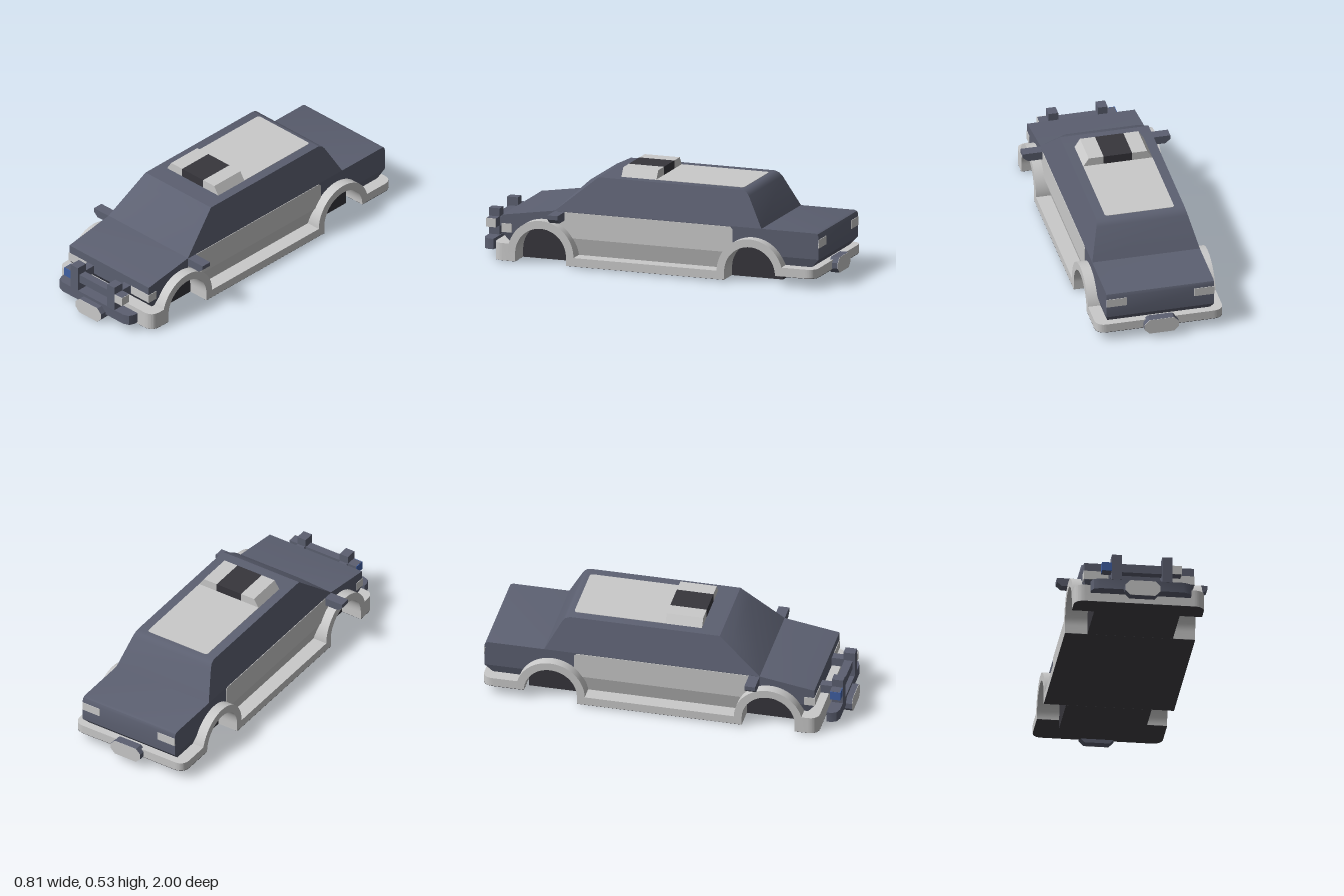
import * as THREE from 'three';
import { toCreasedNormals } from 'three/addons/utils/BufferGeometryUtils.js';

const mat = (name, color) => { const m = new THREE.MeshStandardMaterial({ color }); m.name = name; return m; };

export function createModel() {
  const car = new THREE.Group();
  car.name = 'car';
  const paint = mat('slate paint', 0x5c6071);
  const grey = mat('light grey', 0xcacaca);
  const dark = mat('dark trim', 0x37363c);
  const under = mat('underside', 0x424146);
  const blue = mat('blue lamp', 0x4060a4);

  const add = (name, geo, m) => {
    const mesh = new THREE.Mesh(geo, m);
    mesh.name = name;
    car.add(mesh);
    return mesh;
  };
  // Box given by its extents
  const box = (name, m, x0, x1, y0, y1, z0, z1) =>
    add(name, new THREE.BoxGeometry(x1 - x0, y1 - y0, z1 - z0)
      .translate((x0 + x1) / 2, (y0 + y1) / 2, (z0 + z1) / 2), m);
  const poly = (pts) => new THREE.Shape(pts.map(([a, b]) => new THREE.Vector2(a, b)));
  const extrude = (shape, depth) =>
    new THREE.ExtrudeGeometry(shape, { depth, bevelEnabled: false, curveSegments: 20 });
  // Side profile in (z, y), run across x0..x1; halfWidth(y) scales it to taper the flanks
  const side = (name, m, shape, x0, x1, halfWidth) => {
    const geo = extrude(shape, x1 - x0).rotateY(-Math.PI / 2).translate(x1, 0, 0);
    if (halfWidth) {
      const p = geo.attributes.position;
      for (let i = 0; i < p.count; i++) p.setX(i, p.getX(i) * halfWidth(p.getY(i)));
    }
    return add(name, toCreasedNormals(geo, 0.6), m);
  };
  // Plan outline in (x, z), run upwards from y0 to y1
  const plan = (name, m, shape, y0, y1) =>
    add(name, toCreasedNormals(extrude(shape, y1 - y0).rotateX(Math.PI / 2).translate(0, y1, 0), 0.6), m);
  // Front outline in (x, y), run along z
  const front = (name, m, shape, z0, z1) =>
    add(name, extrude(shape, z1 - z0).translate(0, 0, z0), m);

  const W = 0.295, HUB = 0.055, WHEELS = [-0.593, 0.6], WELL = 0.23;
  const CUT = 0.165, a = Math.asin((0.15 - HUB) / CUT), dz = CUT * Math.cos(a);

  // Cabin, narrowing to the roof, with a bulged windscreen
  const cabinWidth = (y) => W - (y - 0.293) * 0.272;
  side('cabin', paint, poly([[0.54, 0.293], [0.31, 0.484], [-0.51, 0.484], [-0.535, 0.475],
    [-0.552, 0.455], [-0.64, 0.293]]), -1, 1, cabinWidth);
  side('windscreen', paint, poly([[0.54, 0.293], [0.375, 0.455], [0.31, 0.484]]), -1, 1,
    (y) => (y > 0.4 && y < 0.47 ? 0.2 : cabinWidth(y)));

  // Main body with wheel cutouts
  const body = poly([[0.84, 0.15], [0.84, 0.246], [0.54, 0.293], [-0.945, 0.293],
    [-0.96, 0.288], [-0.967, 0.272], [-0.967, 0.15]]);
  for (const z of WHEELS) {
    body.lineTo(z - dz, 0.15);
    body.absarc(z, HUB, CUT, Math.PI - a, a, true);
  }
  body.lineTo(0.84, 0.15);
  side('body', paint, body, -W, W);

  // Lower body, tucked in below the crease
  const tuck = (y) => W - (0.15 - y) * 0.28;
  const [zr, zf] = WHEELS;
  side('lowerNose', paint, poly([[0.84, 0.15], [zf + dz, 0.15], [zf + CUT, 0.06], [0.8, 0.06], [0.8, 0.1]]), -1, 1, tuck);
  side('lowerDoors', grey, poly([[zf - dz, 0.15], [zr + dz, 0.15], [zr + CUT, 0.05], [zf - CUT, 0.05]]), -1, 1, tuck);
  side('lowerTail', paint, poly([[zr - dz, 0.15], [-0.967, 0.15], [-0.92, 0.1], [-0.92, 0.06], [zr - CUT, 0.06]]), -1, 1, tuck);

  // Door panels
  const door = poly([[zf - dz, 0.15], [zr + dz, 0.15], [-0.475, 0.172], [-0.475, 0.277],
    [-0.462, 0.29], [0.52, 0.29], [0.535, 0.275], [0.535, 0.205]]);
  door.absarc(zf, HUB, CUT, 1.98, Math.PI - a, false);
  for (const x of [-W - 0.003, W - 0.002]) side('doorPanel', grey, door, x, x + 0.005);

  // Wheel arches and shallow wells
  WHEELS.forEach((z, i) => {
    const R = 0.188, r = 0.145, rear = i ? 0.01 : HUB;
    const arch = poly([[z + R, 0.01]]);
    arch.absarc(z, HUB, R, 0, Math.PI, false);
    arch.lineTo(z - R, rear);
    arch.lineTo(z - r, rear);
    arch.absarc(z, HUB, r, Math.PI, 0, true);
    arch.lineTo(z + r, 0.01);
    for (const x0 of [-0.35, WELL - 0.005]) side('wheelArch', grey, arch, x0, x0 + 0.355 - WELL);
    box('wheelWellWall', dark, -WELL, WELL, 0.01, 0.205, z - r, z + r);
    box('wheelWellFloor', under, -WELL, WELL, 0.009, 0.01, z - r, z + r);
  });

  // Bumpers with rounded corners, sills and underside
  const bumper = (zIn, zOut) => {
    const c = 0.06, s = Math.sign(zOut) * c, sh = new THREE.Shape();
    sh.moveTo(-0.35, zIn);
    sh.lineTo(-0.35, zOut - s);
    sh.quadraticCurveTo(-0.35, zOut, -0.35 + c, zOut);
    sh.lineTo(0.35 - c, zOut);
    sh.quadraticCurveTo(0.35, zOut, 0.35, zOut - s);
    sh.lineTo(0.35, zIn);
    return sh;
  };
  plan('frontBumper', grey, bumper(0.745, 0.872), 0.01, 0.104);
  plan('frontUnderside', under, bumper(0.745, 0.872), 0.009, 0.01);
  plan('rearBumper', grey, bumper(-0.738, -0.967), 0.056, 0.104);
  plan('rearUnderside', under, bumper(-0.738, -0.967), 0.054, 0.056);
  box('sills', grey, -0.35, 0.35, 0.01, 0.056, zr + 0.146, zf - 0.146);
  box('floor', under, -0.35, 0.35, 0.009, 0.01, zr + 0.146, zf - 0.146);

  // Roof panel
  const roof = new THREE.Shape(), q = 0.018;
  roof.moveTo(-0.19, 0);
  roof.lineTo(-0.19, -0.5 + q);
  roof.quadraticCurveTo(-0.19, -0.5, -0.19 + q, -0.5);
  roof.lineTo(0.19 - q, -0.5);
  roof.quadraticCurveTo(0.19, -0.5, 0.19, -0.5 + q);
  roof.lineTo(0.19, 0);
  plan('roofPanel', grey, roof, 0.482, 0.486);

  // Roof light bar
  for (const s of [-1, 1])
    front('lightBarEnd', grey, poly([[s * 0.078, 0.484], [s * 0.19, 0.484], [s * 0.16, 0.531], [s * 0.078, 0.531]]), 0, 0.2);
  box('lightBarCentre', dark, -0.078, 0.078, 0.484, 0.531, 0, 0.2);

  // Bull bar
  plan('bullBarBase', paint, poly([[-0.27, 0.9], [-0.27, 0.925], [-0.258, 0.952], [-0.225, 0.965],
    [0.225, 0.965], [0.258, 0.952], [0.27, 0.925], [0.27, 0.9]]), 0.045, 0.102);
  box('bullBarRail', paint, -0.11, 0.11, 0.15, 0.198, 0.91, 0.955);

  for (const s of [-1, 1]) {
    const pair = (name, m, x0, x1, ...r) => box(name, m, Math.min(s * x0, s * x1), Math.max(s * x0, s * x1), ...r);
    const lens = s < 0 ? blue : grey;
    pair('bullBarPost', paint, 0.109, 0.162, 0.1, 0.245, 0.905, 0.967);
    pair('bullBarArm', paint, 0.112, 0.16, 0.152, 0.2, 0.82, 0.907);
    // Spot lamps: painted housing, lens on the front and outer faces
    pair('spotLampHousing', paint, 0.162, 0.212, 0.152, 0.201, 0.906, 0.96);
    pair('spotLampLens', lens, 0.162, 0.215, 0.152, 0.2, 0.96, 0.964);
    pair('spotLampSideLens', lens, 0.212, 0.215, 0.152, 0.2, 0.908, 0.96);
    // Headlamps and tail lamps reach the corners
    pair('headlamp', grey, 0.165, W + 0.003, 0.152, 0.2, 0.785, 0.843);
    pair('tailLamp', grey, 0.185, W, 0.213, 0.26, -0.97, -0.962);
    // Mirrors with a clipped outer corner
    front('mirror', paint, poly([[s * 0.285, 0.245], [s * 0.377, 0.245], [s * 0.404, 0.268],
      [s * 0.404, 0.291], [s * 0.285, 0.291]]), 0.482, 0.54);
  }

  // Number plate blocks with clipped corners
  const plate = (y0, y1) => {
    const c = 0.027, x = 0.094;
    return poly([[-x, y0 + c], [-x + c, y0], [x - c, y0], [x, y0 + c],
      [x, y1 - c], [x - c, y1], [-x + c, y1], [-x, y1 - c]]);
  };
  front('frontPlateBlock', paint, plate(0, 0.085), 0.95, 0.998);
  front('frontPlate', grey, plate(0, 0.085), 0.998, 1);
  front('rearPlateBlock', paint, plate(0.033, 0.117), -0.998, -0.95);
  front('rearPlate', grey, plate(0.033, 0.117), -1, -0.998);

  return car;
}
